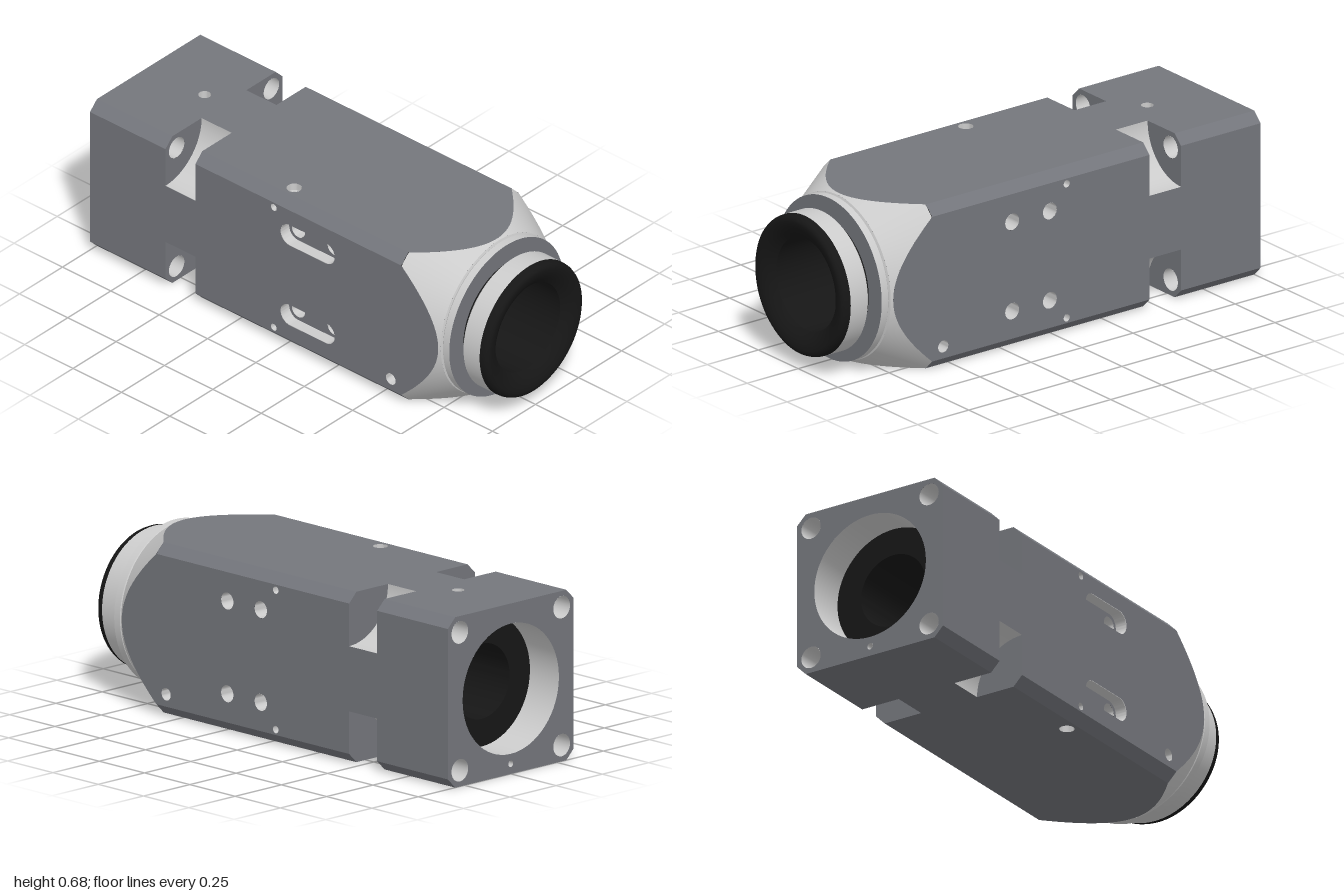
import * as THREE from 'three';
import { toCreasedNormals } from 'three/addons/utils/BufferGeometryUtils.js';
import { ParametricGeometry } from 'three/addons/geometries/ParametricGeometry.js';

const H = 0.34, C = 0.30;            // half width of the body, half width of a flat
const N0 = -0.61, N1 = -0.455;       // notch start and end along x
const NR = 0.21;                     // notch radius
const S2 = Math.SQRT2;
const mat = (color) => new THREE.MeshStandardMaterial({ color, side: THREE.DoubleSide });

// Where the nose cone reaches radius r
const coneX = (r) => 0.8 - 0.19 * (r - H) / 0.113;
// Radius of the chamfered square outline at an angle
const outline = (t) => {
  const c = Math.abs(Math.cos(t)), s = Math.abs(Math.sin(t));
  return Math.min(H / Math.max(c, s), (H + C) / (c + s));
};

const circle = (x, y, r) => new THREE.Path().absarc(x, y, r, 0, Math.PI * 2);
function capsule(Type, x0, x1, y, r) {
  const p = new Type();
  p.absarc(x1, y, r, -Math.PI / 2, Math.PI / 2);
  p.absarc(x0, y, r, Math.PI / 2, Math.PI * 1.5);
  p.closePath();
  return p;
}

export function createModel() {
  const model = new THREE.Group();
  const body = new THREE.Group();
  body.name = 'housing';
  body.position.y = H;
  model.add(body);
  const dark = mat(0x74767c), light = mat(0xcccccc), black = mat(0x161616);

  function add(parent, name, geo, material) {
    const m = new THREE.Mesh(geo, material);
    m.name = name;
    parent.add(m);
    return m;
  }
  // Surface turned from [radius, height] points
  const turned = (pts, seg) => toCreasedNormals(
    new THREE.LatheGeometry(pts.map(([r, h]) => new THREE.Vector2(r, h)), seg), 0.6);
  const alongX = (name, pts, material) =>
    add(body, name, turned(pts, 96).rotateZ(-Math.PI / 2), material);
  const hole = (parent, name, x, y, pts, material = light) =>
    add(parent, name, turned(pts, 24).rotateX(Math.PI / 2).translate(x, y, 0), material);

  // Four flat sides, each with its own holes
  function side(name, angle, holes) {
    const g = new THREE.Group();
    g.name = name;
    g.rotation.x = angle;
    body.add(g);
    const n = H - NR, s = new THREE.Shape();
    const pts = [[-1, -C], [N0, -C], [N0, -n], [N1, -n], [N1, -C]];
    for (let i = 0; i <= 32; i++) {
      const d = -C + 2 * C * i / 32;
      pts.push([coneX(Math.hypot(H, d)), d]);
    }
    pts.push([N1, C], [N1, n], [N0, n], [N0, C], [-1, C]);
    s.setFromPoints(pts.map((p) => new THREE.Vector2(...p)));
    s.holes.push(...holes);
    add(g, name + 'Panel', new THREE.ShapeGeometry(s, 16).translate(0, 0, H), dark);
    return g;
  }

  const pinX = -0.05, pinY = 0.278, boltY = 0.185, boltXs = [0.0325, 0.2175];
  const plugX = 0.555, plugY = 0.25;
  const small = [1, -1].map((k) => circle(pinX, k * pinY, 0.015));
  const front = side('front', 0, [
    ...small, circle(plugX, -plugY, 0.025),
    ...[1, -1].map((k) => capsule(THREE.Path, ...boltXs, k * boltY, 0.0475))]);
  const back = side('back', Math.PI, [
    ...small, circle(plugX, plugY, 0.025),
    ...[1, -1].flatMap((k) => boltXs.map((x) => circle(x, k * boltY, 0.034)))]);
  const top = side('top', -Math.PI / 2, [circle(-0.71, 0, 0.025), circle(-0.02, -0.255, 0.03)]);
  side('bottom', Math.PI / 2, [circle(-0.02, 0.255, 0.03)]);

  // Slots with bolt holes, and pin holes, passing through front to back
  for (const k of [1, -1]) {
    const ring = capsule(THREE.Shape, ...boltXs, k * boltY, 0.055);
    ring.holes.push(capsule(THREE.Path, ...boltXs, k * boltY, 0.0475));
    add(front, 'slotWall', toCreasedNormals(new THREE.ExtrudeGeometry(ring,
      { depth: 0.05, bevelEnabled: false, curveSegments: 16 }).translate(0, 0, H - 0.052), 0.6), light);
    const floor = capsule(THREE.Shape, ...boltXs, k * boltY, 0.05);
    floor.holes.push(...boltXs.map((x) => circle(x, k * boltY, 0.034)));
    add(front, 'slotFloor', new THREE.ShapeGeometry(floor, 16).translate(0, 0, H - 0.05), dark);
    for (const x of boltXs) hole(front, 'boltHole', x, k * boltY, [[0.034, -H], [0.034, H - 0.05]]);
    hole(front, 'pinHole', pinX, k * pinY, [[0.015, -H], [0.015, H]]);
  }
  // Blind plug holes and the counterbored vertical hole
  for (const [g, x, y] of [[front, plugX, -plugY], [back, plugX, plugY], [top, -0.71, 0]]) {
    hole(g, 'plugHole', x, y, [[0.025, H], [0.025, H - 0.06]]);
    hole(g, 'plugFloor', x, y, [[0.025, H - 0.06], [0, H - 0.06]], g === top ? light : black);
  }
  hole(top, 'plugSocket', -0.71, 0, [[0.013, H - 0.055], [0, H - 0.055]], black);
  hole(top, 'verticalHole', -0.02, -0.255,
    [[0.03, H], [0.03, H - 0.03], [0.018, H - 0.03], [0.018, 0.03 - H], [0.03, 0.03 - H], [0.03, -H]]);

  // Four corners: chamfers, scooped notches and screw holes
  const cz = H * S2, screwZ = 0.275 * S2, nz = cz - NR / S2;
  for (let k = 0; k < 4; k++) {
    const g = new THREE.Group();
    g.name = 'corner';
    g.rotation.x = Math.PI / 4 + k * Math.PI / 2;
    body.add(g);
    for (const [a, b] of [[-1, N0], [N1, coneX(0.4535)]])
      add(g, 'chamfer', new THREE.PlaneGeometry(b - a, (H - C) * S2)
        .translate((a + b) / 2, 0, (H + C) / S2), dark);
    add(g, 'notchScoop', new THREE.CylinderGeometry(NR, NR, N1 - N0, 24, 1, true, Math.PI * 0.75, Math.PI / 2)
      .rotateZ(Math.PI / 2).translate((N0 + N1) / 2, 0, cz), light);
    for (const x of [N0, N1]) {
      const e = (H - C) / S2, s = new THREE.Shape();
      s.moveTo(-(H + C) / S2, e);
      s.lineTo(-(H + C) / S2, -e);
      s.lineTo(-nz, -NR / S2);
      s.absarc(-cz, 0, NR, -Math.PI / 4, Math.PI / 4);
      if (x === N0) s.holes.push(circle(-screwZ, 0, 0.045));
      add(g, 'notchWall', new THREE.ShapeGeometry(s, 24).rotateY(Math.PI / 2).translate(x, 0, 0), dark);
    }
    add(g, 'screwHole', new THREE.CylinderGeometry(0.045, 0.045, N0 + 1, 24, 1, true)
      .rotateZ(Math.PI / 2).translate((N0 - 1) / 2, 0, screwZ), light);
  }

  // Rear end plate with the large bore
  const end = new THREE.Shape();
  end.setFromPoints([[H, -C], [H, C], [C, H], [-C, H], [-H, C], [-H, -C], [-C, -H], [C, -H]]
    .map((p) => new THREE.Vector2(...p)));
  end.holes.push(circle(0, 0, 0.26), circle(0, -0.3, 0.013));
  for (const a of [-1, 1]) for (const b of [-1, 1]) end.holes.push(circle(a * 0.275, b * 0.275, 0.045));
  add(body, 'rearPlate', new THREE.ShapeGeometry(end, 32).rotateY(-Math.PI / 2).translate(-1, 0, 0), dark);
  add(body, 'rearPinHole', new THREE.CylinderGeometry(0.013, 0.013, 0.08, 16, 1, true)
    .rotateZ(Math.PI / 2).translate(-0.96, -0.3, 0), light);
  alongX('rearBore', [[0.26, -1], [0.26, -0.84]], light);
  alongX('innerBarrel', [[0.26, -0.84], [0.15, -0.84], [0.15, 0.7], [0.188, 0.7]], black);

  // Nose cone trimmed by the square body
  add(body, 'noseCone', new ParametricGeometry((u, v, p) => {
    const t = u * Math.PI * 2, r = THREE.MathUtils.lerp(outline(t), 0.335, v);
    p.set(coneX(r), r * Math.sin(t), r * Math.cos(t));
  }, 192, 6), light);
  alongX('noseRing', [[0.335, coneX(0.335)], [0.326, 0.812], [0.332, 0.818], [0.332, 0.85]], light);
  alongX('noseFace', [[0.332, 0.85], [0.24, 0.85]], dark);

  // Eyepiece: neck, collar and soft dished cup
  alongX('neck', [[0.25, 0.85], [0.25, 0.88]], black);
  alongX('collar', [[0.24, 0.873], [0.275, 0.873], [0.285, 0.882], [0.285, 0.965]], light);
  alongX('eyeCup', [[0.285, 0.965], [0.284, 0.98], [0.279, 0.992], [0.27, 0.999], [0.258, 1],
    [0.235, 0.994], [0.21, 0.98], [0.188, 0.96], [0.188, 0.7]], black);

  return model;
}
